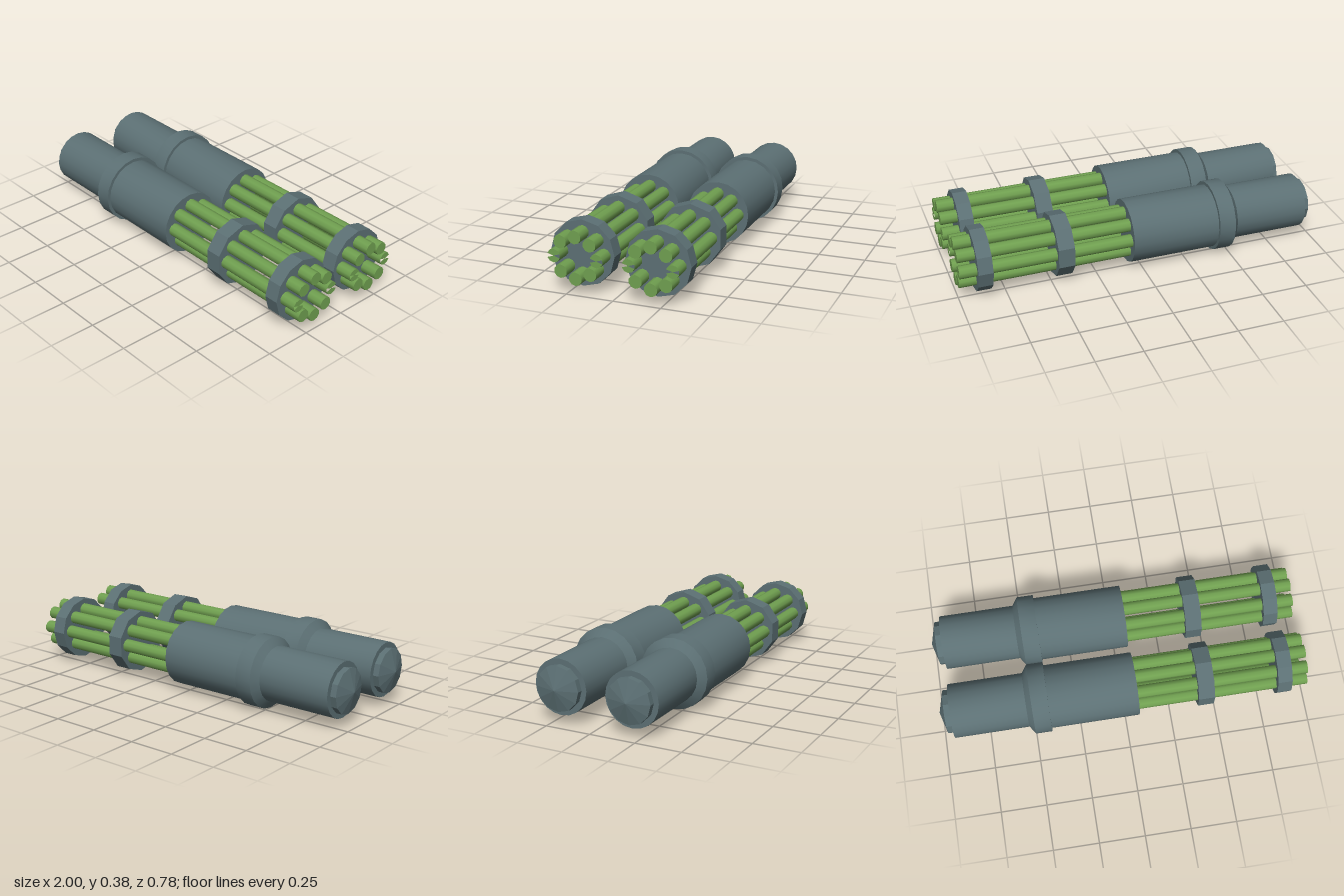
import * as THREE from 'three';
import { toCreasedNormals } from 'three/addons/utils/BufferGeometryUtils.js';

const slate = new THREE.MeshStandardMaterial({ color: 0x5c7074 });
const slateFlat = new THREE.MeshStandardMaterial({ color: 0x5c7074, flatShading: true });
const green = new THREE.MeshStandardMaterial({ color: 0x70a050 });

function add(parent, name, geometry, material) {
  const mesh = new THREE.Mesh(geometry, material);
  mesh.name = name;
  parent.add(mesh);
  return mesh;
}

// Prism lying along x between x0 and x1, with a corner at its top
function prism(x0, x1, radius, sides, open = false) {
  return new THREE.CylinderGeometry(radius, radius, x1 - x0, sides, 1, open, Math.PI / 2)
    .rotateZ(-Math.PI / 2).translate((x0 + x1) / 2, 0, 0);
}

// Solid of revolution about x from [x, radius] pairs
function turned(profile, sides) {
  const points = profile.map(([x, r]) => new THREE.Vector2(r, x));
  const lathe = new THREE.LatheGeometry(points, sides).rotateZ(-Math.PI / 2);
  return toCreasedNormals(lathe, 0.45);
}

// Part of a barrel's end disc, facing +x
function endFan(start, segments) {
  const step = Math.PI / 5;
  return new THREE.CircleGeometry(0.035, segments, start, segments * step)
    .rotateY(Math.PI / 2).translate(1, 0, 0);
}

function createGun() {
  const gun = new THREE.Group();

  // Housing with a raised collar
  add(gun, 'housing', turned([
    [-0.935, 0], [-0.935, 0.147], [-0.53, 0.147], [-0.5, 0.19],
    [-0.41, 0.19], [-0.41, 0.172], [0.07, 0.172], [0.07, 0],
  ], 20), slate);

  // Shallow pointed rear cap
  add(gun, 'rearCap', turned([[-1, 0], [-0.967, 0.12], [-0.93, 0.12]], 12), slateFlat);

  // Clamps holding the barrels
  add(gun, 'middleClamp', prism(0.395, 0.483, 0.172, 10), slateFlat);
  add(gun, 'frontClamp', prism(0.83, 0.908, 0.172, 12), slateFlat);

  // Ring of eight barrels
  const barrels = new THREE.Group();
  barrels.name = 'barrels';
  barrels.position.set(0, 0.002, -0.002);
  for (let i = 0; i < 8; i++) {
    const a = i * Math.PI / 4;
    const side = i % 4 === 2;
    const barrel = new THREE.Group();
    barrel.name = 'barrel';
    barrel.position.set(0, 0.107 * Math.cos(a), (side ? 0.114 : 0.111) * Math.sin(a));
    add(barrel, 'barrelTube', prism(0.06, 1, 0.035, 10, true), green);
    // The two side barrels have a notched, bow-tie-cut end
    if (side) {
      add(barrel, 'barrelEndUpper', endFan(Math.PI / 10, 4), green);
      add(barrel, 'barrelEndLower', endFan(Math.PI * 1.1, 4), green);
    } else {
      add(barrel, 'barrelEnd', endFan(Math.PI / 10, 10), green);
    }
    barrels.add(barrel);
  }
  gun.add(barrels);
  return gun;
}

export function createModel() {
  const model = new THREE.Group();
  model.name = 'twinRotaryGuns';
  for (const side of [1, -1]) {
    const gun = createGun();
    gun.name = side > 0 ? 'frontGun' : 'backGun';
    gun.position.set(0, 0.191, 0.2 * side);
    gun.scale.z = side; // mirrored pair
    model.add(gun);
  }
  return model;
}
